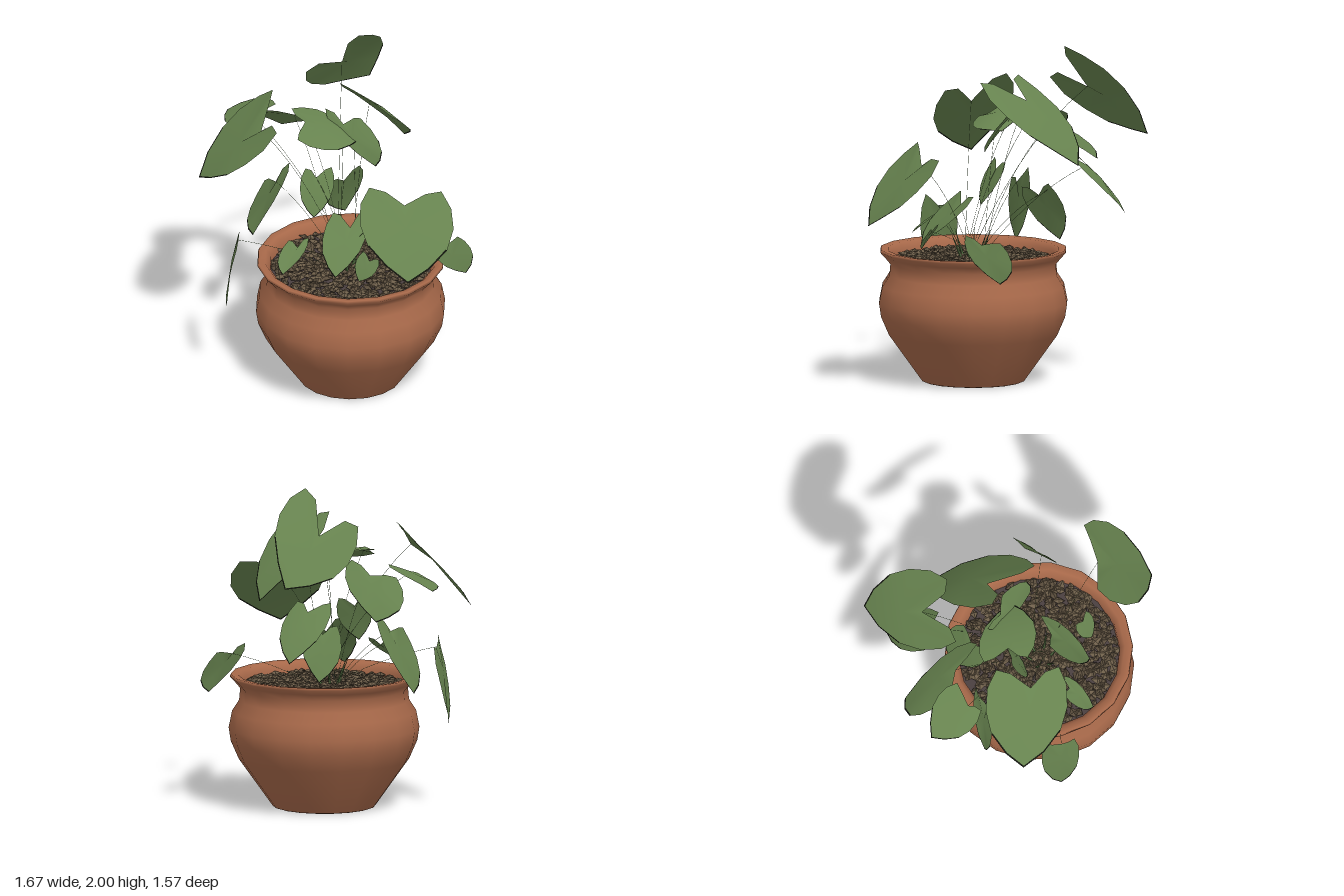
import * as THREE from 'three';
import { mergeGeometries } from 'three/addons/utils/BufferGeometryUtils.js';

const mat = (name, color, side = THREE.FrontSide) => {
  const m = new THREE.MeshStandardMaterial({ color, side });
  m.name = name;
  return m;
};
const V = (a) => new THREE.Vector3(...a);

// Heart-shaped leaf spanned by its two lobe peaks, notch and tip, with a dark margin at the tip
function leafGeometry(lobeA, lobeB, notch, tip) {
  const A = V(lobeA), B = V(lobeB), N = V(notch), T = V(tip);
  const mid = A.clone().add(B).multiplyScalar(0.5);
  const side = B.clone().sub(A).multiplyScalar(0.5);
  const along = T.clone().sub(mid);
  const up = side.clone().cross(along).normalize();
  if (up.y < 0) {
    up.negate();
    side.negate();
  }
  const len = along.length();
  const at = (u, v, lift) =>
    mid.clone().addScaledVector(side, u).addScaledVector(along, v).addScaledVector(up, lift * len);

  // half outline: across, along, lift
  const half = [[0.55, 0.04, 0.01], [1, 0, 0], [1.26, 0.18, 0], [1.3, 0.4, 0.02],
    [1.1, 0.63, 0.03], [0.6, 0.84, 0.03]];
  const outer = [N, ...half.map(([u, v, l]) => at(u, v, l)), T,
    ...half.slice().reverse().map(([u, v, l]) => at(-u, v, l))];
  const centre = N.clone().lerp(T, 0.3).addScaledVector(up, 0.04 * len);
  const inner = outer.map((p) => p.clone().lerp(centre, 0.035));
  const n = outer.length, blade = [], margin = [];
  for (let i = 0; i < n; i++) {
    const j = (i + 1) % n;
    blade.push(0, 1 + i, 1 + j);
    (i >= 5 && i <= 8 ? margin : blade).push(1 + i, 1 + n + i, 1 + n + j, 1 + i, 1 + n + j, 1 + j);
  }
  const g = new THREE.BufferGeometry().setFromPoints([centre, ...inner, ...outer]);
  g.setIndex([...blade, ...margin]);
  g.addGroup(0, blade.length, 0);
  g.addGroup(blade.length, margin.length, 1);
  g.computeVertexNormals();
  return g;
}

export function createModel() {
  const root = new THREE.Group();
  const terracotta = mat('terracotta', 0xa8694a, THREE.DoubleSide);
  const leafGreen = mat('leaf green', 0x67834f, THREE.DoubleSide);
  const marginDark = mat('leaf margin dark', 0x14180f, THREE.DoubleSide);
  const stemGreen = mat('stem green', 0x587446);
  const soilBrown = mat('soil brown', 0x4a3f40);
  const stoneBrown = mat('stone brown', 0x6e5f4a);
  const stoneDark = mat('dark stone', 0x5a4d3c);
  const add = (name, geometry, material, parent = root) => {
    const m = new THREE.Mesh(geometry, material);
    m.name = name;
    parent.add(m);
    return m;
  };

  // Pot, set off-centre below the spreading plant
  const pot = new THREE.Group();
  pot.name = 'pot';
  pot.position.set(0.105, 0, 0.22);
  root.add(pot);
  const profile = [[0, 0.005], [0.29, 0.005], [0.305, 0.01], [0.505, 0.29], [0.553, 0.4],
    [0.565, 0.48], [0.545, 0.58], [0.503, 0.645], [0.497, 0.715], [0.53, 0.755], [0.558, 0.785],
    [0.553, 0.8], [0.51, 0.795], [0.48, 0.76], [0.475, 0.7]];
  add('potBody', new THREE.LatheGeometry(profile.map((p) => new THREE.Vector2(...p)), 18), terracotta, pot);
  const soil = add('soil', new THREE.CircleGeometry(0.485, 18), soilBrown, pot);
  soil.rotation.x = -Math.PI / 2;
  soil.position.y = 0.725;

  // Gravel: flat faceted stones scattered over the soil
  let seed = 7;
  const rnd = () => (seed = (seed * 16807) % 2147483647) / 2147483647;
  const stones = [[], []];
  for (let i = 0; i < 620; i++) {
    const r = 0.46 * Math.sqrt((i + 0.5) / 620), a = i * 2.39996 + rnd() * 0.3;
    const g = new THREE.OctahedronGeometry(0.036);
    g.scale(0.75 + rnd() * 0.5, 0.45, 0.55 + rnd() * 0.3);
    g.rotateZ((rnd() - 0.5) * 0.7);
    g.rotateY(rnd() * 6.28);
    g.translate(r * Math.cos(a), 0.73 + rnd() * 0.014, r * Math.sin(a));
    stones[i % 2].push(g);
  }
  add('lightGravel', mergeGeometries(stones[0]), stoneBrown, pot);
  add('darkGravel', mergeGeometries(stones[1]), stoneDark, pot);

  // Leaves: lobe, lobe, notch, tip
  const plant = new THREE.Group();
  plant.name = 'plant';
  root.add(plant);
  let count = 0;
  const leaf = (a, b, notch, tip) => {
    count++;
    add('leaf' + count, leafGeometry(a, b, notch, tip), [leafGreen, marginDark], plant);
    // hair-thin stem arching from the soil to the notch
    const n = V(notch), ang = count * 2.4;
    const foot = new THREE.Vector3(0.08 + 0.06 * Math.cos(ang), 0.72, 0.22 + 0.06 * Math.sin(ang));
    const bend = foot.clone().lerp(n, 0.45);
    bend.y = foot.y + (n.y - foot.y) * 0.7;
    const curve = new THREE.QuadraticBezierCurve3(foot, bend, n);
    add('stem' + count, new THREE.TubeGeometry(curve, 8, 0.0012, 3), stemGreen, plant);
  };

  // upper crown
  leaf([-0.33, 1.77, -0.16], [-0.05, 2.0, -0.3], [-0.2, 1.74, -0.41], [-0.17, 1.47, -0.78]);
  leaf([-0.06, 1.82, -0.02], [0.25, 1.81, 0.15], [0.1, 1.69, -0.1], [0.19, 1.32, -0.43]);
  leaf([-0.43, 1.77, 0.12], [-0.27, 1.68, 0.46], [-0.42, 1.6, 0.33], [-0.79, 1.25, 0.4]);
  leaf([-0.57, 1.48, -0.13], [-0.23, 1.55, -0.06], [-0.4, 1.48, -0.14], [-0.58, 1.25, -0.4]);
  leaf([-0.24, 1.33, -0.33], [-0.03, 1.33, -0.36], [-0.13, 1.28, -0.42], [-0.13, 1.0, -0.65]);
  leaf([-0.15, 1.63, -0.02], [0.08, 1.62, 0.0], [-0.02, 1.57, 0.02], [0.23, 1.39, 0.13]);
  leaf([-0.35, 1.61, 0.02], [-0.22, 1.54, 0.25], [-0.22, 1.6, 0.13], [0.09, 1.5, 0.05]);
  leaf([-0.5, 1.55, -0.1], [-0.6, 1.48, 0.08], [-0.6, 1.5, 0], [-0.83, 1.42, -0.16]);

  // outer hanging leaves
  leaf([0.34, 1.46, 0.51], [0.72, 1.41, 0.31], [0.54, 1.35, 0.45], [0.68, 1.0, 0.745]);
  leaf([0.61, 0.95, 0.17], [0.68, 0.92, -0.05], [0.64, 0.9, 0.07], [0.73, 0.68, -0.06]);
  leaf([-0.51, 0.97, 0.45], [-0.45, 1.03, 0.61], [-0.48, 0.96, 0.54], [-0.55, 0.5, 0.56]);
  leaf([-0.49, 1.14, 0.1], [-0.38, 1.22, -0.02], [-0.43, 1.12, 0.06], [-0.57, 0.75, 0.09]);

  // low inner leaves
  leaf([0.03, 1.13, 0.31], [0.2, 1.12, 0.2], [0.13, 1.04, 0.29], [0.13, 0.82, 0.53]);
  leaf([-0.19, 0.98, 0.47], [-0.08, 1.0, 0.43], [-0.13, 0.95, 0.48], [-0.16, 0.84, 0.64]);
  leaf([0.26, 0.96, 0.4], [0.37, 0.94, 0.43], [0.31, 0.92, 0.43], [0.27, 0.81, 0.5]);
  leaf([-0.21, 1.3, 0.15], [-0.08, 1.29, 0.06], [-0.15, 1.24, 0.13], [-0.13, 1.02, 0.22]);
  leaf([-0.12, 1.14, -0.03], [-0.01, 1.18, -0.21], [-0.08, 1.1, -0.14], [-0.12, 0.83, -0.26]);

  // young grass-like shoots
  for (let i = 0; i < 6; i++) {
    const a = i * 1.05;
    const g = new THREE.ConeGeometry(0.01, 0.2, 4);
    g.translate(0, 0.1, 0);
    const shoot = add('shoot' + (i + 1), g, stemGreen, plant);
    shoot.position.set(0.08 + 0.05 * Math.cos(a), 0.72, 0.24 + 0.05 * Math.sin(a));
    shoot.rotation.set(0.4 * Math.sin(a), 0, -0.4 * Math.cos(a));
  }
  return root;
}
